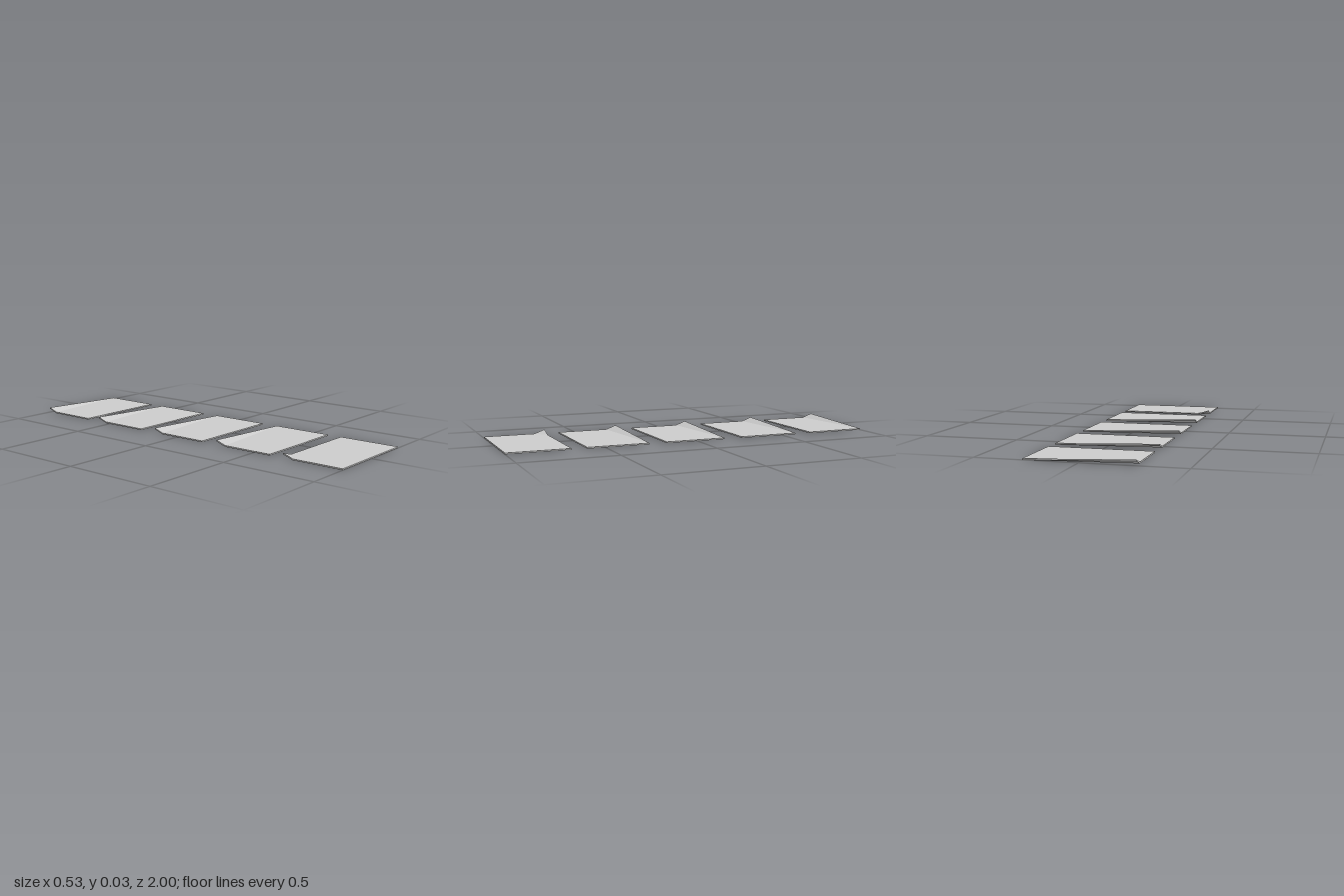
import * as THREE from 'three';

const HALF_WIDTH = 0.263;
const THICKNESS = 0.007;
const LIFT = 0.02;   // height of the bent corner above the flat top
const BEND = 0.056;  // where the crease meets the side edge

// Thin sheet whose back corner is bent up along a crease ending at x = hingeX
function bentSheet(zBack, zFront, hingeX) {
  const y = THICKNESS;
  const crease = new THREE.Vector3(-HALF_WIDTH, y, zBack + BEND);
  const top = [
    crease,
    new THREE.Vector3(-HALF_WIDTH, y, zFront),
    new THREE.Vector3(HALF_WIDTH, y, zFront),
    new THREE.Vector3(HALF_WIDTH, y, zBack),
  ];
  if (hingeX < HALF_WIDTH) top.push(new THREE.Vector3(hingeX, y, zBack));
  top.push(new THREE.Vector3(-HALF_WIDTH, y + LIFT, zBack)); // raised corner
  const bottom = top.map(p => new THREE.Vector3(p.x, p.y - THICKNESS, p.z));

  const tris = [];
  // Top and bottom skins fan out from the crease point
  for (let i = 1; i < top.length - 1; i++) {
    tris.push(top[0], top[i], top[i + 1]);
    tris.push(bottom[0], bottom[i + 1], bottom[i]);
  }
  // Rim around the outline
  for (let i = 0; i < top.length; i++) {
    const j = (i + 1) % top.length;
    tris.push(bottom[i], bottom[j], top[j], bottom[i], top[j], top[i]);
  }
  const geometry = new THREE.BufferGeometry().setFromPoints(tris);
  geometry.computeVertexNormals();
  return geometry;
}

export function createModel() {
  const group = new THREE.Group();
  group.name = 'sheetRow';
  const material = new THREE.MeshStandardMaterial({ color: 0xcccccc, flatShading: true });

  // Back edge, front edge and crease end of each sheet, from back to front
  const sheets = [
    [-1.0, -0.673, HALF_WIDTH],
    [-0.583, -0.257, HALF_WIDTH],
    [-0.155, 0.172, HALF_WIDTH],
    [0.267, 0.594, HALF_WIDTH],
    [0.673, 1.0, -0.197], // only a small corner is bent here
  ];
  sheets.forEach(([zBack, zFront, hingeX], i) => {
    const mesh = new THREE.Mesh(bentSheet(zBack, zFront, hingeX), material);
    mesh.name = `sheet${i + 1}`;
    group.add(mesh);
  });
  return group;
}
